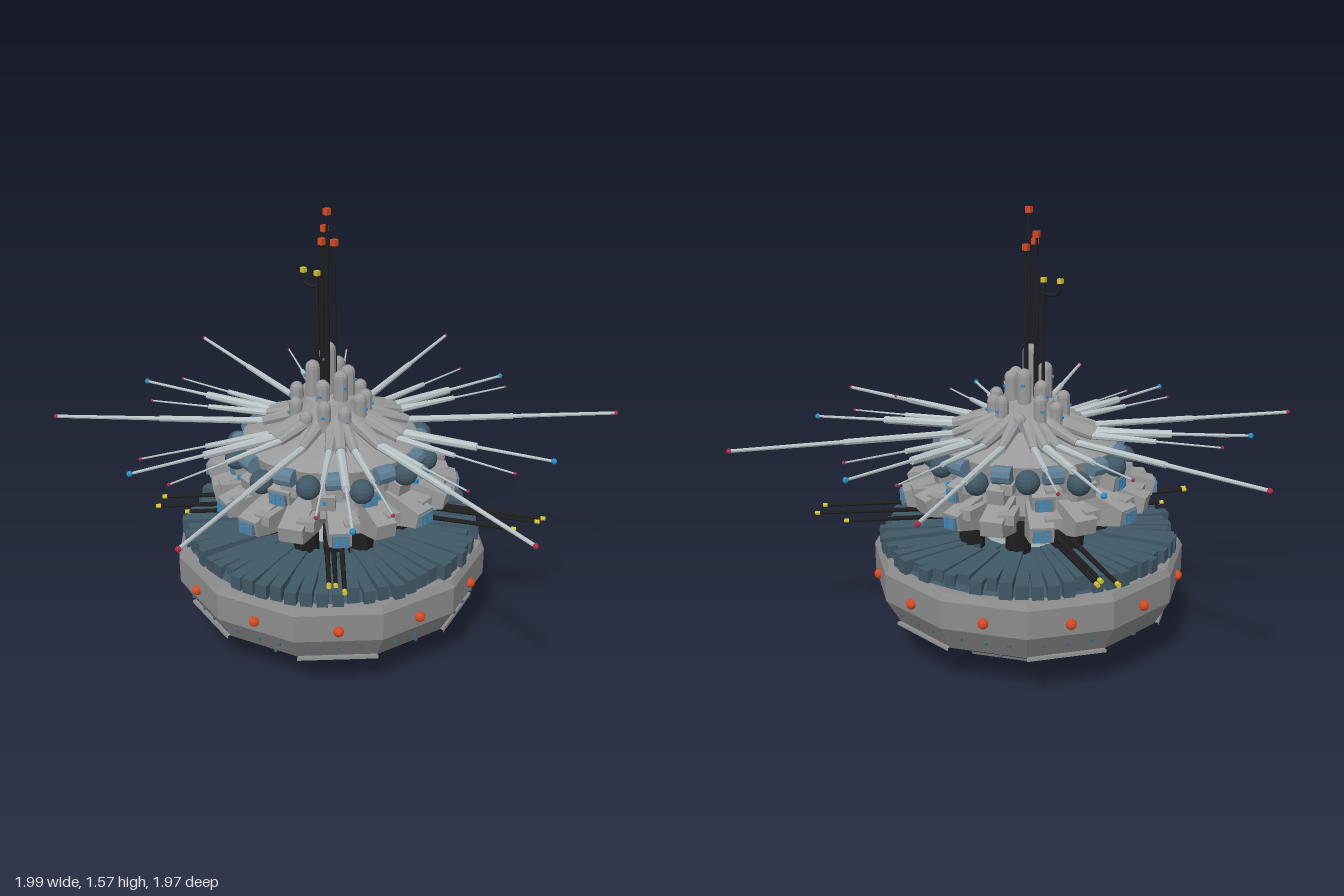
import * as THREE from 'three';

const mat = (color) => new THREE.MeshStandardMaterial({ color, flatShading: true });
const M = {
  hull: mat(0x8c8c8c), grey: mat(0x9a9a9a), pale: mat(0xb9c4c6), slate: mat(0x405866), steel: mat(0x5f7f96),
  black: mat(0x1e1e1e), orange: mat(0xd9481f), yellow: mat(0xd8c52a), blue: mat(0x2a90cc), teal: mat(0x3a7078), red: mat(0xb02a4a),
};
const TAU = Math.PI * 2;
let seed = 7;
const rand = (a, b) => {
  seed = (seed * 16807) % 2147483647;
  return a + (b - a) * (seed / 2147483647);
};
const V = (x, y, z) => new THREE.Vector3(x, y, z);
const polar = (a, r, y) => V(Math.sin(a) * r, y, Math.cos(a) * r);

function add(parent, name, geo, material) {
  const mesh = new THREE.Mesh(geo, material);
  mesh.name = name;
  parent.add(mesh);
  return mesh;
}
// Places a mesh on a circle with its local z pointing outwards
function around(mesh, a, r, y) {
  mesh.position.copy(polar(a, r, y));
  mesh.rotation.y = a;
  return mesh;
}
function rod(parent, name, from, to, r0, r1, material, sides = 8) {
  const dir = to.clone().sub(from);
  const mesh = add(parent, name, new THREE.CylinderGeometry(r1, r0, dir.length(), sides), material);
  mesh.position.copy(from).add(to).multiplyScalar(0.5);
  mesh.quaternion.setFromUnitVectors(V(0, 1, 0), dir.normalize());
}
function lathe(profile, sides, start = 0, length = TAU) {
  return new THREE.LatheGeometry(profile.map(([r, y]) => new THREE.Vector2(r, y)), sides, start, length);
}
// Radial bracket: side profile in (radius, height), extruded to a width
function bracket(profile, width) {
  const shape = new THREE.Shape(profile.map(([r, y]) => new THREE.Vector2(r, y)));
  const geo = new THREE.ExtrudeGeometry(shape, { depth: width, bevelEnabled: false });
  return geo.translate(0, 0, -width / 2).rotateY(-Math.PI / 2);
}

function buildHull(g) {
  add(g, 'hull', lathe([[0, 0.09], [0.09, 0.09], [0.1, 0.02], [0.13, 0.005], [0.18, 0.01], [0.2, 0.03], [0.385, 0.08],
    [0.515, 0.15], [0.57, 0.245], [0.57, 0.345], [0.555, 0.37], [0, 0.375]], 12), M.hull);
  add(g, 'thrusterLiner', lathe([[0, 0.08], [0.07, 0.08], [0.098, 0.015], [0.108, 0.015]], 12), M.pale);
  // Raised plates on alternating lower faces
  for (let i = 0; i < 6; i++) {
    const upper = lathe([[0.385, 0.075], [0.395, 0.07], [0.532, 0.145], [0.53, 0.155], [0.515, 0.155]], 1, (i * 2 + 1) * TAU / 12, TAU / 12);
    add(g, 'lowerPlate', upper, M.hull);
    add(g, 'keelPlate', lathe([[0.22, 0.03], [0.24, 0.03], [0.385, 0.068], [0.39, 0.08]], 1, i * TAU / 6, TAU / 12), M.hull);
  }
  for (let i = 0; i < 12; i++) {
    const a = (i + 0.5) * TAU / 12;
    around(add(g, 'rimLight', new THREE.SphereGeometry(0.018, 10, 8), M.orange), a, 0.555, 0.285);
    for (const [da, r, y] of [[-0.16, 0.535, 0.205], [0, 0.527, 0.2], [0.15, 0.535, 0.205], [0.08, 0.485, 0.14]])
      around(add(g, 'hullStud', new THREE.BoxGeometry(0.01, 0.01, 0.012), M.teal), a + da, r, y);
  }
  // Six clusters of four keel lights
  for (let i = 0; i < 6; i++) for (let j = 0; j < 4; j++)
    around(add(g, 'keelLight', new THREE.SphereGeometry(0.009, 8, 6), M.yellow), -0.3 + i * TAU / 6 + (j - 1.5) * 0.13, 0.21, 0.038);
}

function buildDeck(g) {
  add(g, 'deckDisc', new THREE.CylinderGeometry(0.5, 0.52, 0.03, 48), M.slate).position.y = 0.385;
  const n = 64;
  for (let i = 0; i < n; i++) {
    const outer = rand(0.505, 0.545), inner = rand(0.2, 0.3), h = rand(0.045, 0.06);
    const slat = bracket([[inner, 0.37], [outer, 0.37], [outer, 0.37 + h], [inner, 0.375 + h]], rand(0.034, 0.045));
    add(g, 'deckSlat', slat, M.slate).rotation.y = i * TAU / n;
  }
}

function buildCore(g) {
  add(g, 'coreColumn', new THREE.CylinderGeometry(0.17, 0.17, 0.2, 16), M.pale).position.y = 0.46;
  for (let i = 0; i < 8; i++)
    around(add(g, 'supportPillar', new THREE.CylinderGeometry(0.045, 0.045, 0.16, 10), M.black), (i + 0.5) * TAU / 8, 0.25, 0.46);
  add(g, 'towerBody', lathe([[0, 0.52], [0.25, 0.52], [0.31, 0.57], [0.3, 0.64], [0.31, 0.7], [0.32, 0.745], [0.26, 0.77],
    [0.17, 0.8], [0.12, 0.84], [0.09, 0.9], [0, 0.92]], 24), M.grey);
  // Two tiers of overhanging brackets with lit panels on their ends
  const tier = (name, n, reach, y, width, offset) => {
    for (let i = 0; i < n; i++) {
      const a = (i + offset) * TAU / n, R = reach * rand(0.93, 1.03), w = width * rand(0.8, 1.15), b = y + rand(-0.012, 0.012);
      const p = [[0.18, b - 0.02], [R * 0.62, b - 0.02], [R - 0.01, b + 0.02], [R, b + 0.075], [R * 0.8, b + 0.1], [0.2, b + 0.13]];
      add(g, name, bracket(p, w), M.grey).rotation.y = a;
      around(add(g, 'bracketShoulder', new THREE.BoxGeometry(w * 0.7, 0.035, 0.1), M.grey), a + 0.1, R * 0.83, b + 0.075);
      if (i % 2 === 0) {
        around(add(g, 'litPanel', new THREE.BoxGeometry(w * 0.75, 0.042, 0.016), M.steel), a, R, b + 0.047);
        for (let k = 0; k < 5; k++)
          around(add(g, 'panelLamp', new THREE.BoxGeometry(0.012, 0.01, 0.01), M.blue),
            a + (k % 2 - 0.5) * 0.06, R + 0.006, b + 0.032 + 0.007 * k);
      }
    }
  };
  tier('lowerBracket', 17, 0.45, 0.52, 0.075, 0.2);
  tier('upperBracket', 14, 0.375, 0.595, 0.075, 0.5);
  // Ring of domes and boxes below the antennas
  for (let i = 0; i < 12; i++) {
    const a = i * TAU / 12;
    around(add(g, 'sensorDome', new THREE.SphereGeometry(0.042, 14, 10), M.slate), a, 0.345, i % 2 ? 0.705 : 0.685);
    const drum = around(add(g, 'sensorBox', new THREE.CylinderGeometry(0.032, 0.032, 0.065, 10), M.steel), a + TAU / 24, 0.325, 0.72);
    drum.rotateZ(Math.PI / 2);
    around(add(g, 'ringLamp', new THREE.BoxGeometry(0.014, 0.014, 0.02), M.blue), a + 0.16, 0.35, 0.655);
  }
}

function buildGuns(g) {
  // Paired barrels pointing out between deck and tower
  for (const [x, z, y] of [[0.66, -0.39, 0.475], [0.41, 0.42, 0.46], [-0.43, 0.45, 0.495], [-0.56, -0.46, 0.49]]) {
    const a = Math.atan2(x, z), R = Math.hypot(x, z), gun = new THREE.Group();
    gun.name = 'gun';
    gun.rotation.y = a;
    g.add(gun);
    const mount = add(gun, 'gunMount', new THREE.BoxGeometry(0.07, 0.045, 0.14), M.black);
    mount.position.set(0, 0.495, 0.29);
    for (const [dx, dy, len] of [[0.025, 0, R], [-0.025, 0.012, R - 0.02], [0, -0.04, R - 0.1]]) {
      rod(gun, 'gunBarrel', V(dx, 0.495 + dy, 0.28), V(dx, y + dy, len), 0.01, 0.007, M.black);
      rod(gun, 'muzzle', V(dx, y + dy, len - 0.005), V(dx, y + dy, len + 0.012), 0.008, 0.008, M.yellow);
    }
  }
}

function buildSpire(g) {
  const tower = (a, r, top, radius) => {
    const len = top - 0.76 - 2 * radius;
    around(add(g, 'spireTower', new THREE.CapsuleGeometry(radius, len, 4, 10), M.grey), a, r, top - radius - len / 2);
    around(add(g, 'towerLamp', new THREE.BoxGeometry(0.012, 0.008, 0.01), M.blue), a, r + radius, top - radius - 0.03);
  };
  tower(0, 0.01, 1.1, 0.026);
  for (let i = 0; i < 6; i++) tower(i * TAU / 6 + 0.3, 0.062, rand(0.96, 1.04), 0.026);
  for (let i = 0; i < 11; i++) tower(i * TAU / 11, 0.125, rand(0.87, 0.95), 0.024);
  // Masts with beacons
  for (const [x, z, top] of [[0.025, 0.043, 1.56], [-0.005, 0.035, 1.455], [-0.005, -0.027, 1.44], [-0.04, -0.015, 1.485]]) {
    rod(g, 'mast', V(x, 0.9, z), V(x, 1.22, z), 0.009, 0.009, M.black);
    rod(g, 'mastTop', V(x, 1.22, z), V(x, top, z), 0.006, 0.004, M.black);
    add(g, 'beacon', new THREE.BoxGeometry(0.02, 0.022, 0.02), M.orange).position.set(x, top, z);
  }
  rod(g, 'hookMast', V(-0.06, 0.9, 0), V(-0.06, 1.32, 0), 0.007, 0.006, M.black);
  const hook = new THREE.CatmullRomCurve3([V(-0.06, 1.28, 0), V(-0.1, 1.28, 0), V(-0.12, 1.29, 0), V(-0.125, 1.325, 0)]);
  add(g, 'mastHook', new THREE.TubeGeometry(hook, 12, 0.006, 6), M.black);
  for (const x of [-0.06, -0.125])
    add(g, 'hookBeacon', new THREE.BoxGeometry(0.017, 0.017, 0.017), M.yellow).position.set(x, 1.33, 0);
}

function buildAntennas(g) {
  // Tip positions of each kind; stage radii run from root to tip
  const kinds = [
    { radii: [0.013, 0.011, 0.008], tip: M.red, ball: 0.009, tips: [[-0.25, 0.805, -0.985], [0.705, 0.79, -0.74],
      [0.985, 0.762, 0.235], [0.285, 0.797, 0.97], [-0.76, 0.8, 0.655], [-0.99, 0.81, -0.255]] },
    { radii: [0.017, 0.014, 0.006], tip: M.blue, ball: 0.01, tips: [[0.18, 0.79, -0.77], [0.75, 0.785, -0.245],
      [-0.59, 0.81, -0.54], [-0.76, 0.815, 0.24], [-0.19, 0.8, 0.77], [0.555, 0.775, 0.54]] },
    { radii: [0.013, 0.009, 0.004], tip: M.red, ball: 0.006, tips: [[0.015, 0.79, -0.73], [0.275, 0.8, -0.665],
      [-0.455, 0.8, -0.57], [-0.61, 0.815, -0.385], [0.7, 0.78, -0.09], [0.67, 0.79, 0.13], [0.58, 0.775, 0.385],
      [0.43, 0.785, 0.565], [-0.07, 0.78, 0.71], [-0.27, 0.79, 0.665], [-0.71, 0.8, 0.105], [-0.66, 0.78, 0.3]] },
  ];
  for (const { radii: [r0, r1, r2], tip, ball, tips } of kinds) for (const p of tips) {
    const end = V(...p), a = Math.atan2(p[0], p[2]);
    const root = polar(a, 0.08, 0.84), knee = polar(a, 0.26, 0.79);
    const mid = knee.clone().lerp(end, 0.5);
    rod(g, 'antennaRoot', root, knee, 0.03, r0 * 1.2, M.grey);
    rod(g, 'antennaArm', knee, mid, r0, r1, M.pale);
    rod(g, 'antennaWhip', mid, end, r2, r2 * 0.8, M.pale);
    add(g, 'antennaTip', new THREE.SphereGeometry(ball, 8, 6), tip).position.copy(end);
  }
}

export function createModel() {
  const model = new THREE.Group();
  model.name = 'spaceStation';
  const body = new THREE.Group();
  body.name = 'stationBody';
  body.position.set(-0.01, -0.005, 0.017);
  model.add(body);
  buildHull(body);
  buildDeck(body);
  buildCore(body);
  buildGuns(body);
  buildSpire(body);
  const antennas = new THREE.Group();
  antennas.name = 'antennas';
  model.add(antennas);
  buildAntennas(antennas);
  return model;
}
